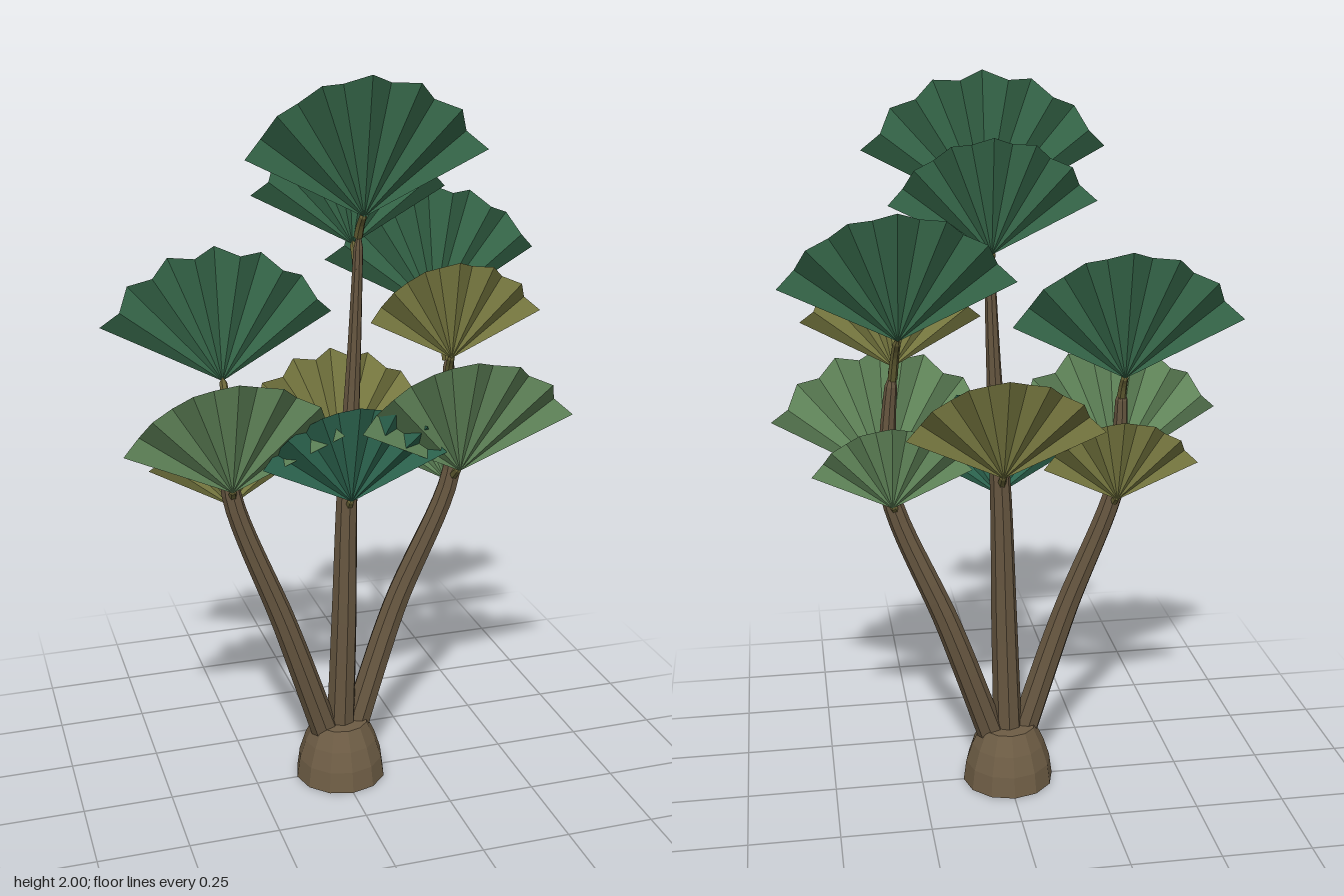
import * as THREE from 'three';

const mat = (name, color, extra = {}) => {
  const m = new THREE.MeshStandardMaterial({ color, flatShading: true, ...extra });
  m.name = name;
  return m;
};
const leafy = { side: THREE.DoubleSide };
const V = (p) => new THREE.Vector3(...p);

// Tapered, flat-sided limb following a curve; radii are spread evenly along it
function limb(points, radii, sides, steps) {
  const curve = new THREE.CatmullRomCurve3(points.map(V));
  const geo = new THREE.TubeGeometry(curve, steps, 1, sides, false);
  const pos = geo.attributes.position;
  const v = new THREE.Vector3();
  for (let i = 0; i <= steps; i++) {
    const c = curve.getPointAt(i / steps);
    const f = (i / steps) * (radii.length - 1);
    const k = Math.min(Math.floor(f), radii.length - 2);
    const r = i === steps ? 0 : THREE.MathUtils.lerp(radii[k], radii[k + 1], f - k);
    for (let j = 0; j <= sides; j++) {
      const n = i * (sides + 1) + j;
      v.fromBufferAttribute(pos, n).sub(c).multiplyScalar(r).add(c);
      pos.setXYZ(n, v.x, v.y, v.z);
    }
  }
  geo.computeVertexNormals();
  return geo;
}

// Pleated fan leaf: pivot at the origin, ridges alternate out of the leaning plane
function fan(radius, lean, facing, pleats = 12) {
  const half = THREE.MathUtils.degToRad(63);
  const rim = [];
  for (let i = 0; i <= pleats; i++) {
    const a = -half + (2 * half * i) / pleats;
    const ridge = i % 2 === 0;
    const r = radius * (ridge ? 1 : 0.95);
    const y = Math.cos(a) * r;
    const z = facing * (lean * (y / radius) + radius * (ridge ? 0.055 : -0.055));
    rim.push([Math.sin(a) * r, y, z]);
  }
  const verts = [];
  for (let i = 0; i < pleats; i++) verts.push(0, 0, 0, ...rim[i + 1], ...rim[i]);
  const geo = new THREE.BufferGeometry();
  geo.setAttribute('position', new THREE.Float32BufferAttribute(verts, 3));
  geo.computeVertexNormals();
  return geo;
}

export function createModel() {
  const bark = mat('bark', 0x665640);
  const baseBark = mat('base bark', 0x6e5d45);
  const stalk = mat('stalk olive', 0x6b6638);
  const dark = mat('dark green', 0x346447, leafy);
  const teal = mat('teal green', 0x2d6650, leafy);
  const light = mat('light green', 0x61865a, leafy);
  const olive = mat('olive', 0x777840, leafy);

  const group = new THREE.Group();
  const add = (name, geo, material) => {
    const mesh = new THREE.Mesh(geo, material);
    mesh.name = name;
    group.add(mesh);
    return mesh;
  };

  // Swollen foot of the plant
  const profile = [[0, 0], [0.13, 0], [0.122, 0.06], [0.104, 0.115], [0.078, 0.17], [0, 0.17]];
  add('base', new THREE.LatheGeometry(profile.map((p) => new THREE.Vector2(...p)), 12), baseBark);

  // Three trunks
  add('centreTrunk', limb(
    [[0, 0.12, 0], [0.01, 0.5, 0.005], [0.02, 0.87, 0], [0.04, 1.25, -0.005], [0.052, 1.61, 0]],
    [0.042, 0.037, 0.03, 0.02, 0.012], 8, 24), bark);
  add('rightTrunk', limb(
    [[-0.04, 0.12, 0.01], [-0.165, 0.5, 0.02], [-0.305, 0.9, 0.0], [-0.31, 1.05, -0.005], [-0.31, 1.18, -0.01]],
    [0.04, 0.037, 0.032, 0.027, 0.015], 8, 24), bark);
  add('leftTrunk', limb(
    [[0.04, 0.12, -0.005], [0.17, 0.5, -0.022], [0.325, 0.9, 0.0], [0.325, 1.08, -0.005], [0.31, 1.25, -0.015]],
    [0.04, 0.037, 0.032, 0.026, 0.015], 8, 24), bark);

  // Leaves: name, pivot, radius, lean, facing (+1 front, -1 back), colour, trunk attachment
  const leaves = [
    ['topFront', [0.05, 1.64, 0.05], 0.36, 0.045, 1, dark, [0.05, 1.58, 0]],
    ['topBack', [0.05, 1.55, -0.05], 0.30, 0.03, -1, dark, [0.048, 1.49, 0]],
    ['leftHighBack', [0.3, 1.34, -0.09], 0.34, 0.055, -1, dark, [0.31, 1.22, -0.015]],
    ['leftHighFront', [0.305, 1.24, 0.035], 0.27, 0.03, 1, olive, [0.315, 1.17, -0.01]],
    ['rightHighBack', [-0.31, 1.205, -0.05], 0.35, 0.04, -1, dark, [-0.31, 1.14, -0.01]],
    ['rightLowFront', [-0.31, 0.92, 0.04], 0.33, 0.09, 1, light, [-0.3, 0.87, 0]],
    ['leftLowFront', [0.33, 0.92, 0.055], 0.34, 0.095, 1, light, [0.32, 0.87, 0]],
    ['centreLowFront', [0.02, 0.86, 0.045], 0.29, 0.06, 1, teal, [0.02, 0.8, 0]],
    ['centreLowBack', [0.02, 0.94, -0.055], 0.30, 0.09, -1, olive, [0.02, 0.88, 0]],
    ['rightLowBack', [-0.3, 0.855, -0.035], 0.24, 0.05, -1, olive, [-0.285, 0.82, 0]],
    ['leftLowBack', [0.32, 0.865, -0.035], 0.24, 0.04, -1, light, [0.3, 0.82, 0]],
  ];
  for (const [name, pivot, radius, lean, facing, colour, root] of leaves) {
    add(name + 'Leaf', fan(radius, lean, facing), colour).position.set(...pivot);
    // Short curved stalk from trunk to leaf
    const mid = [(root[0] + pivot[0]) / 2, root[1] * 0.4 + pivot[1] * 0.6, root[2] * 0.6 + pivot[2] * 0.4];
    const end = [pivot[0], pivot[1] + 0.01, pivot[2]];
    add(name + 'Stalk', limb([root, mid, end], [0.013, 0.01], 6, 6), stalk);
  }
  return group;
}
